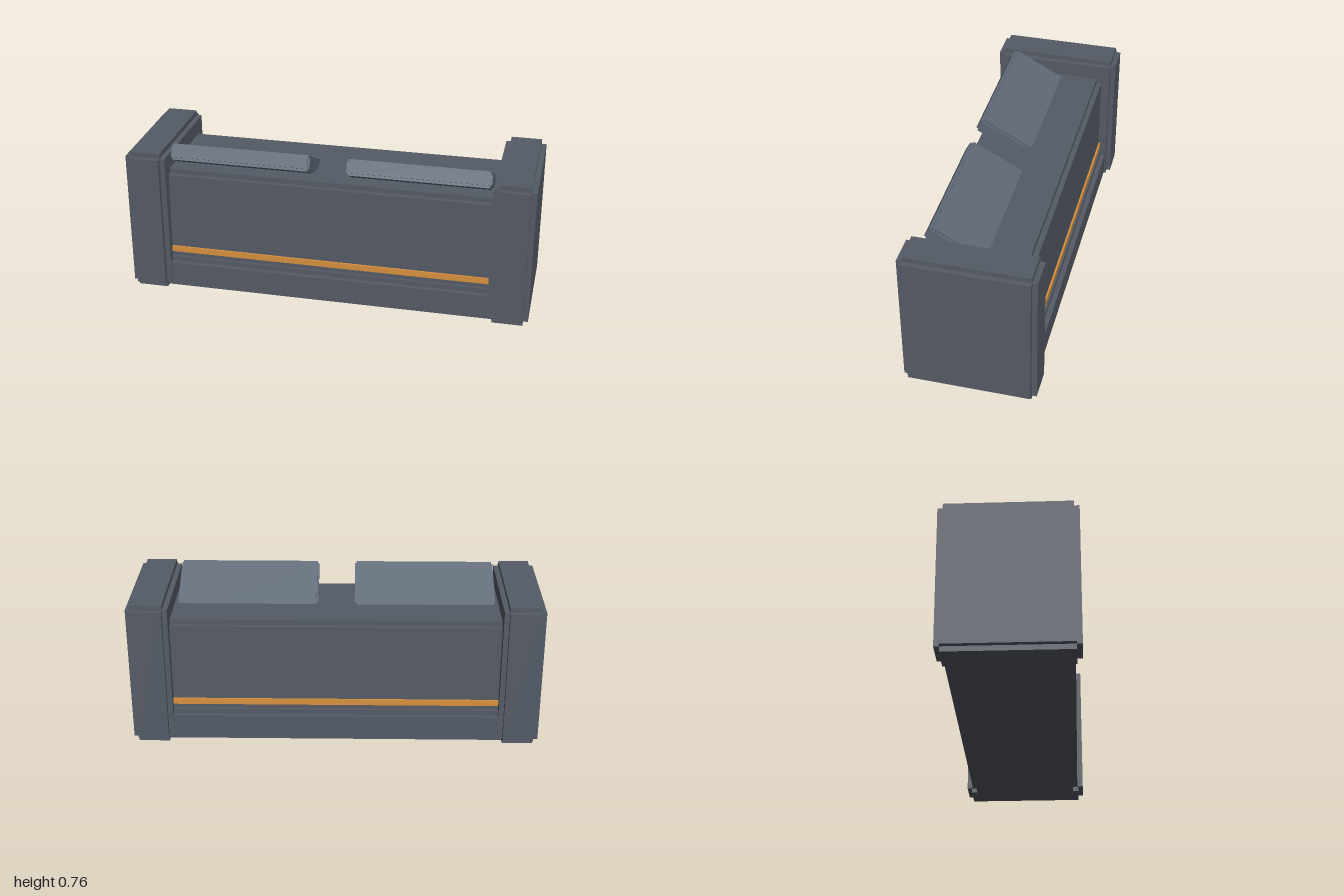
import * as THREE from 'three';

// Block with stepped (notched) edges: three boxes, each inset on two axes.
function steppedBlock(name, w, h, d, s, material, sx = s) {
  const group = new THREE.Group();
  group.name = name;
  const sizes = [
    [w, h - 2 * s, d - 2 * s],
    [w - 2 * sx, h, d - 2 * s],
    [w - 2 * sx, h - 2 * s, d],
  ];
  for (const size of sizes) {
    const mesh = new THREE.Mesh(new THREE.BoxGeometry(...size), material);
    mesh.name = name + 'Block';
    group.add(mesh);
  }
  return group;
}

export function createModel() {
  const model = new THREE.Group();
  model.name = 'console';
  const hull = new THREE.MeshStandardMaterial({ name: 'slate grey', color: 0x555b66 });
  const panel = new THREE.MeshStandardMaterial({ name: 'light slate', color: 0x606977 });
  const trim = new THREE.MeshStandardMaterial({ name: 'amber', color: 0xd9913f });

  // Base and upper body between the end pillars
  const base = steppedBlock('base', 1.7, 0.165, 0.576, 0.025, hull, 0);
  base.position.y = 0.0825;
  const body = steppedBlock('body', 1.7, 0.515, 0.5, 0.025, hull, 0);
  body.position.y = 0.3755;
  model.add(base, body);

  for (const side of [-1, 1]) {
    // End pillar
    const pillar = steppedBlock('endPillar', 0.2, 0.735, 0.636, 0.025, hull);
    pillar.position.set(side * 0.9, 0.3675, 0);
    model.add(pillar);

    // Amber strip along the front and back
    const strip = new THREE.Mesh(new THREE.BoxGeometry(1.6, 0.03, 0.009), trim);
    strip.name = 'lightStrip';
    strip.position.set(0, 0.205, side * 0.2555);
    model.add(strip);

    // Tilted control panel, pivoting on its upper front edge
    const pivot = new THREE.Group();
    pivot.name = 'controlPanel';
    const slab = steppedBlock('panelSlab', 0.695, 0.08, 0.36, 0.0125, panel, 0.008);
    slab.position.set(0, -0.04, -0.18);
    pivot.add(slab);
    pivot.position.set(side * 0.438, 0.768, 0.219);
    pivot.rotation.x = -0.49;
    model.add(pivot);
  }
  return model;
}
